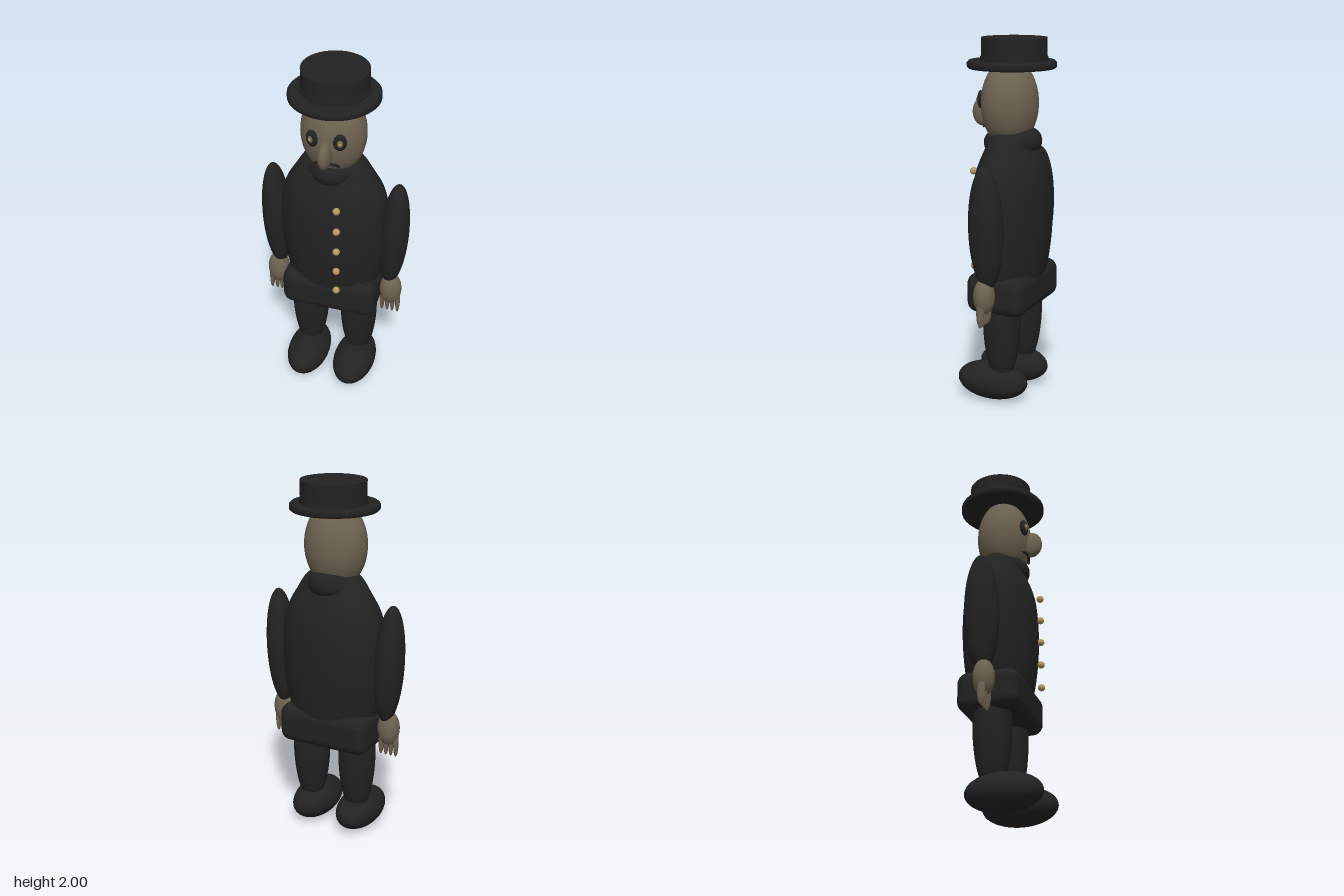
import * as THREE from 'three';
import { RoundedBoxGeometry } from 'three/addons/geometries/RoundedBoxGeometry.js';

function material(name, color) {
  const m = new THREE.MeshStandardMaterial({ color });
  m.name = name;
  return m;
}

export function createModel() {
  const model = new THREE.Group();
  model.name = 'manInBowlerCoat';
  const cloth = material('black cloth', 0x222222);
  const skin = material('tan skin', 0x6e6352);
  const gold = material('gold', 0xb89a62);

  function add(name, geometry, mat, x, y, z, parent = model) {
    const mesh = new THREE.Mesh(geometry, mat);
    mesh.name = name;
    mesh.position.set(x, y, z);
    parent.add(mesh);
    return mesh;
  }

  // Ellipsoid with the given centre and radii
  function ellipsoid(name, mat, [x, y, z], [rx, ry, rz], parent = model, segments = 32) {
    const geometry = new THREE.SphereGeometry(1, segments, Math.round(segments * 0.75));
    geometry.scale(rx, ry, rz);
    return add(name, geometry, mat, x, y, z, parent);
  }

  // Coat: smooth lathe flattened from front to back
  const coatCurve = new THREE.SplineCurve([
    [0, 0.5], [0.1, 0.53], [0.19, 0.6], [0.25, 0.7], [0.288, 0.86], [0.302, 1.02],
    [0.297, 1.17], [0.275, 1.29], [0.215, 1.4], [0.14, 1.5], [0, 1.54],
  ].map(([r, y]) => new THREE.Vector2(r, y)));
  const coatPoints = coatCurve.getPoints(50);
  coatPoints.forEach((p) => { p.x = Math.max(p.x, 0); });
  const coat = new THREE.LatheGeometry(coatPoints, 48);
  coat.scale(1, 1, 0.66);
  add('coat', coat, cloth, 0, 0, -0.02);
  add('coatSkirt', new RoundedBoxGeometry(0.54, 0.22, 0.34, 5, 0.06), cloth, 0, 0.635, -0.02);

  // Collar leaning forward
  const collar = new THREE.TorusGeometry(0.095, 0.068, 18, 40);
  collar.rotateX(Math.PI / 2);
  collar.scale(0.85, 1, 1);
  add('collar', collar, cloth, 0, 1.445, -0.018).rotation.x = 0.1;

  // Coat buttons
  for (let i = 0; i < 5; i++) {
    ellipsoid('button', gold, [0.07, 1.277 - i * 0.135, 0.187], [0.02, 0.02, 0.02], model, 16);
  }

  // Head and nose
  ellipsoid('head', skin, [0, 1.65, 0], [0.175, 0.24, 0.152], model, 40);
  ellipsoid('nose', skin, [0, 1.595, 0.163], [0.036, 0.077, 0.06]);

  // Moustache with drooping ends
  const moustachePath = new THREE.CatmullRomCurve3([
    [-0.065, 1.515, 0.122], [-0.048, 1.528, 0.13], [0, 1.53, 0.14],
    [0.048, 1.528, 0.13], [0.065, 1.515, 0.122],
  ].map((p) => new THREE.Vector3(...p)));
  add('moustache', new THREE.TubeGeometry(moustachePath, 24, 0.008, 8), cloth, 0, 0, 0);

  // Mirrored pairs
  for (const side of [1, -1]) {
    const label = side > 0 ? 'left' : 'right';

    // Eye: dark socket, tan lid and gold pupil
    const eye = new THREE.Group();
    eye.name = label + 'Eye';
    eye.position.set(side * 0.074, 1.672, 0.138);
    eye.rotation.y = side * 0.3;
    model.add(eye);
    ellipsoid('eyeSocket', cloth, [0, 0, 0], [0.035, 0.048, 0.018], eye, 20);
    ellipsoid('eyeball', skin, [0, 0, 0.011], [0.018, 0.024, 0.011], eye, 16);
    ellipsoid('pupil', gold, [0, 0, 0.018], [0.009, 0.011, 0.007], eye, 12);

    // Arm and hand
    const arm = ellipsoid(label + 'Arm', cloth, [side * 0.337, 1.03, -0.02], [0.079, 0.336, 0.095]);
    arm.rotation.z = side * -0.05;
    ellipsoid(label + 'Hand', skin, [side * 0.333, 0.66, -0.006], [0.062, 0.1, 0.057]);
    for (let i = 0; i < 4; i++) {
      ellipsoid(label + 'Finger', skin, [side * (0.288 + i * 0.03), 0.575, -0.004],
        [0.013, 0.08, 0.022], model, 14);
    }

    // Leg and shoe
    ellipsoid(label + 'Leg', cloth, [side * 0.145, 0.48, -0.02], [0.105, 0.38, 0.105]);
    ellipsoid(label + 'Shoe', cloth, [side * 0.142, 0.105, 0.04], [0.12, 0.105, 0.208]);
  }

  // Hat: brim, band and crown
  const brim = new THREE.LatheGeometry([
    [0, 1.838], [0.222, 1.838], [0.23, 1.838], [0.24, 1.847], [0.24, 1.87],
    [0.23, 1.88], [0.222, 1.88], [0, 1.88],
  ].map(([r, y]) => new THREE.Vector2(r, y)), 56);
  add('hatBrim', brim, cloth, 0, 0, -0.012);
  add('hatBand', new THREE.CylinderGeometry(0.181, 0.181, 0.03, 56), cloth, 0, 1.885, -0.025);
  add('hatCrown', new THREE.CylinderGeometry(0.176, 0.176, 0.13, 56), cloth, 0, 1.935, -0.025);

  return model;
}
